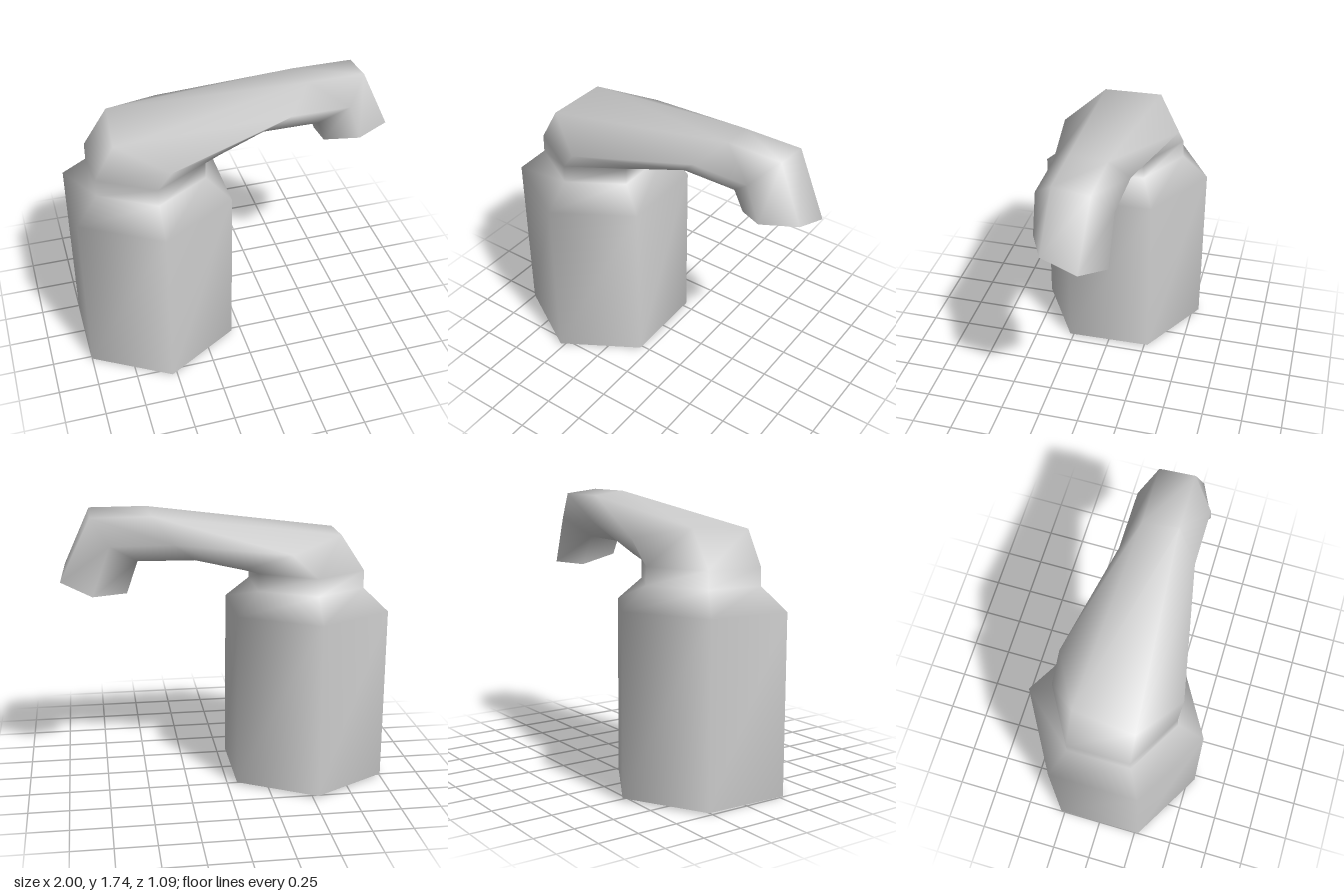
import * as THREE from 'three';

// Cross-sections from base to spout mouth; six corners each, in the order
// back +z, back -z, side -z, front -z, front +z, side +z.
const lean = (z) => (0.55 - z) * 0.016;
function hexRing(y, halfX, sideZ) {
  const z = sideZ / 2;
  return [[-1, z], [-1, -z], [0, -sideZ], [1, -z], [1, z], [0, sideZ]]
    .map(([s, w]) => [-0.53 + s * halfX, y + lean(w), w]);
}

const rings = [
  hexRing(0, 0.47, 0.547),
  hexRing(1.1, 0.47, 0.547),
  hexRing(1.237, 0.33, 0.385),
  hexRing(1.347, 0.33, 0.38),
  // head tilting over into the arm
  [[-0.74, 1.565, 0.19], [-0.71, 1.585, -0.19], [-0.37, 1.51, -0.375],
    [-0.11, 1.385, -0.19], [-0.11, 1.39, 0.19], [-0.45, 1.46, 0.39]],
  // start of the straight spout
  [[0.46, 1.74, 0.10], [0.44, 1.715, -0.12], [0.32, 1.56, -0.225],
    [0.18, 1.435, -0.10], [0.18, 1.455, 0.12], [0.32, 1.61, 0.235]],
  // elbow
  [[0.81, 1.74, 0.10], [0.81, 1.715, -0.12], [0.70, 1.56, -0.222],
    [0.53, 1.44, -0.10], [0.53, 1.455, 0.12], [0.68, 1.61, 0.235]],
  // open mouth
  [[0.97, 1.385, 0.13], [1.0, 1.32, -0.09], [0.81, 1.255, -0.215],
    [0.60, 1.25, -0.13], [0.58, 1.31, 0.10], [0.76, 1.375, 0.23]],
];

// Triangles joining consecutive rings
function loftIndex(from, to) {
  const index = [];
  for (let r = from; r < to; r++) {
    for (let i = 0; i < 6; i++) {
      const j = (i + 1) % 6;
      const a = r * 6 + i, b = r * 6 + j, c = b + 6, d = a + 6;
      index.push(a, d, b, b, d, c);
    }
  }
  return index;
}

export function createModel() {
  const group = new THREE.Group();
  const grey = new THREE.MeshStandardMaterial({ color: 0xcccccc, side: THREE.DoubleSide });
  grey.name = 'light grey';

  // Normals are computed over the whole surface so that the parts blend
  const whole = new THREE.BufferGeometry();
  whole.setAttribute('position', new THREE.Float32BufferAttribute(rings.flat(2), 3));
  whole.setIndex(loftIndex(0, rings.length - 1));
  whole.computeVertexNormals();

  for (const [name, from, to] of [['body', 0, 2], ['neck', 2, 4], ['spout', 4, 7]]) {
    const geometry = whole.clone();
    geometry.setIndex(loftIndex(from, to));
    const mesh = new THREE.Mesh(geometry, grey);
    mesh.name = name;
    group.add(mesh);
  }
  return group;
}
